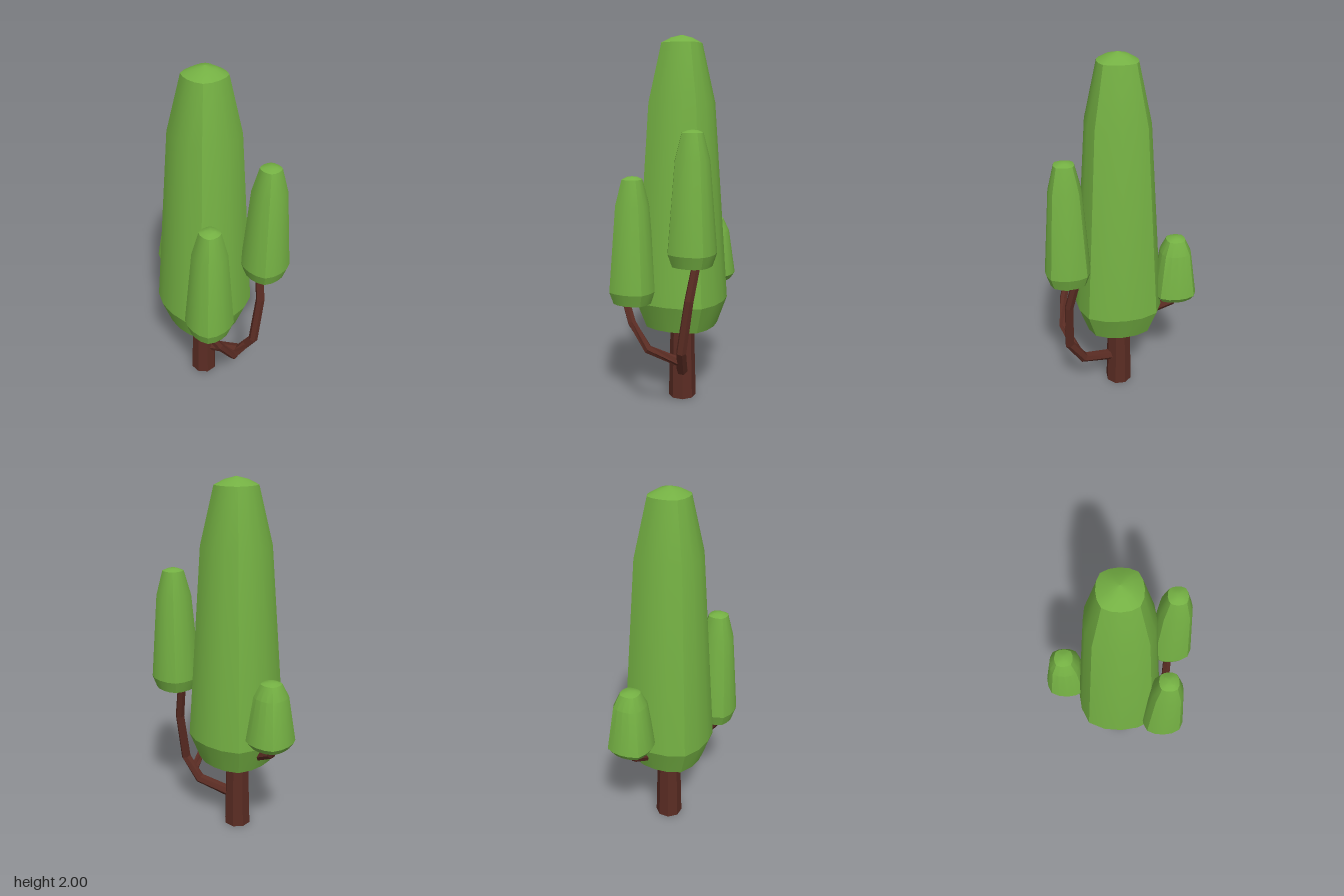
import * as THREE from 'three';
import { toCreasedNormals } from 'three/addons/utils/BufferGeometryUtils.js';

const V = (x, y, z) => new THREE.Vector3(x, y, z);
const green = new THREE.MeshStandardMaterial({ color: 0x74b043 });
const bark = new THREE.MeshStandardMaterial({ color: 0x5a2c23, flatShading: true });

// Skin a list of closed rings, capping both ends with a fan around a tip point
function loft(rings, startTip, endTip) {
  const n = rings[0].length, last = (rings.length - 1) * n;
  const points = [...rings.flat(), startTip, endTip];
  const start = rings.length * n, index = [];
  for (let j = 0; j < n; j++) {
    const k = (j + 1) % n;
    for (let i = 0; i < last; i += n) {
      index.push(i + j, i + k, i + n + k, i + j, i + n + k, i + n + j);
    }
    index.push(start, k, j, start + 1, last + j, last + k);
  }
  const geometry = new THREE.BufferGeometry().setFromPoints(points);
  geometry.setIndex(index);
  geometry.computeVertexNormals();
  return geometry;
}

// One side of the rounded-square crown section, repeated four times
const side = [[1, 0], [0.95, 0.41], [0.78, 0.78], [0.41, 0.95]];
const section = [];
for (let q = 0; q < 4; q++) {
  for (const [a, b] of side) {
    section.push([[a, b], [-b, a], [-a, -b], [b, -a]][q]);
  }
}

// Crown of leaves from a profile of [half width, height]
function crown(name, x, z, profile, top) {
  const rings = profile.map(([r, y]) => section.map(([u, v]) => V(v * r, y, u * r)));
  const geometry = loft(rings, V(0, profile[0][1], 0), V(0, top, 0));
  const mesh = new THREE.Mesh(toCreasedNormals(geometry, 0.36), green);
  mesh.name = name;
  mesh.position.set(x, 0, z);
  return mesh;
}

// Small crowns share their widths and differ in height
function smallCrown(name, x, z, [y0, y1, y2, y3, top]) {
  const profile = [[0.1, y0], [0.121, y1], [0.085, y2], [0.052, y3], [0.027, top - 0.004]];
  return crown(name, x, z, profile, top);
}

// Hexagonal branch bending sharply at each point
function branch(name, coords, r0, r1) {
  const path = coords.map((c) => V(...c));
  const end = path.length - 1;
  const rings = path.map((p, i) => {
    const before = p.clone().sub(path[Math.max(i - 1, 0)]).normalize();
    const after = path[Math.min(i + 1, end)].clone().sub(p).normalize();
    const t = before.add(after).normalize();
    const u = V(1, 0, 0).addScaledVector(t, -t.x).normalize();
    const v = t.clone().cross(u);
    const r = r0 + (r1 - r0) * i / end;
    return Array.from({ length: 6 }, (_, j) => {
      const a = j * Math.PI / 3;
      return p.clone().addScaledVector(u, r * Math.cos(a)).addScaledVector(v, r * Math.sin(a));
    });
  });
  const mesh = new THREE.Mesh(loft(rings, path[0], path[end]), bark);
  mesh.name = name;
  return mesh;
}

export function createModel() {
  const tree = new THREE.Group();
  tree.name = 'tree';

  // Trunk
  const trunk = new THREE.Mesh(new THREE.CylinderGeometry(0.064, 0.077, 0.5, 8), bark);
  trunk.name = 'trunk';
  trunk.position.y = 0.25;
  trunk.rotation.y = Math.PI / 8;
  tree.add(trunk);

  // Crowns
  tree.add(
    crown('mainCrown', 0, 0.005, [
      [0.19, 0.43], [0.243, 0.58], [0.172, 1.65], [0.105, 1.957], [0.055, 1.985],
    ], 2),
    smallCrown('leftCrown', 0.18, 0.3, [0.84, 0.905, 1.37, 1.505, 1.52]),
    smallCrown('rightCrown', -0.18, 0.25, [0.595, 0.66, 1.12, 1.255, 1.272]),
    smallCrown('backCrown', 0.075, -0.305, [0.627, 0.658, 0.91, 0.982, 0.996]),
  );

  // Branches
  tree.add(
    branch('leftBranch', [
      [0.01, 0.18, 0.03], [0.09, 0.24, 0.22], [0.12, 0.37, 0.302],
      [0.162, 0.65, 0.3], [0.19, 0.88, 0.245],
    ], 0.032, 0.023),
    branch('rightBranch', [
      [0.1, 0.295, 0.255], [-0.06, 0.37, 0.325], [-0.16, 0.5, 0.31], [-0.22, 0.62, 0.27],
    ], 0.025, 0.022),
    branch('backBranch', [
      [0.02, 0.44, -0.05], [0.06, 0.565, -0.295], [0.07, 0.65, -0.335],
    ], 0.027, 0.024),
  );
  return tree;
}
